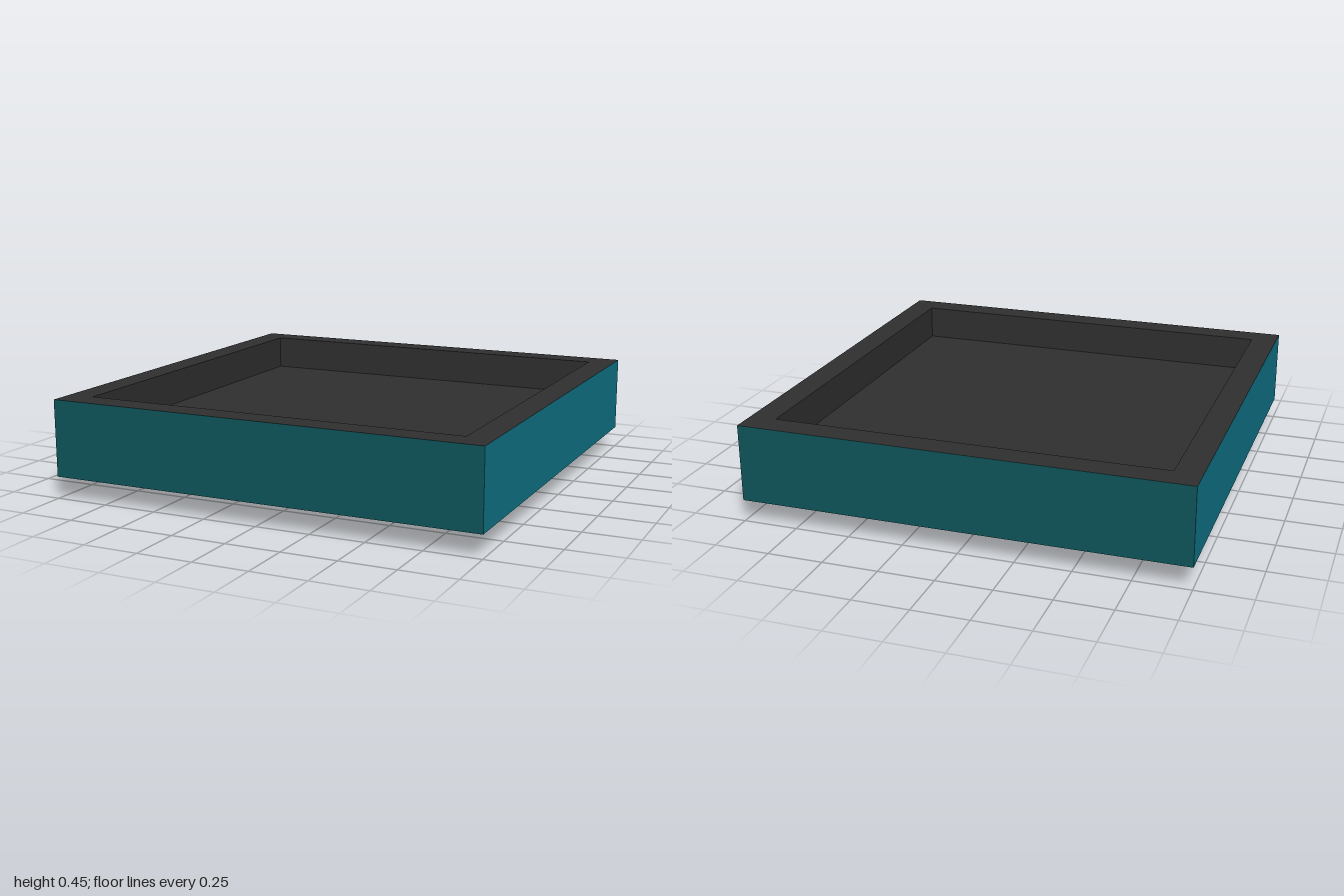
import * as THREE from 'three';

function paint(name, color) {
  const m = new THREE.MeshStandardMaterial({ color });
  m.name = name;
  return m;
}

export function createModel() {
  const charcoal = paint('charcoal', 0x2f2f2f);
  const tealGreen = paint('dark teal', 0x0f565b);
  const tealBlue = paint('blue teal', 0x107387);
  const navy = paint('navy underside', 0x32386a);
  const green = paint('sea green', 0x269c8a);
  const cream = paint('cream', 0xdfe3bb);

  const model = new THREE.Group();
  model.name = 'tray';
  const add = (name, geometry, material, y = 0) => {
    const mesh = new THREE.Mesh(geometry, material);
    mesh.name = name;
    mesh.position.y = y;
    model.add(mesh);
    return mesh;
  };

  // box with its top face left out
  const openBox = (w, h, d) => {
    const g = new THREE.BoxGeometry(w, h, d);
    g.groups = g.groups.filter((part) => part.materialIndex !== 2);
    return g;
  };

  // outer walls and underside
  const top = 0.45, bottom = 0.1, floor = 0.29, inner = 0.88;
  add('outerShell', openBox(2, top - bottom, 2),
    [tealBlue, tealBlue, charcoal, navy, tealGreen, tealGreen], (top + bottom) / 2);

  // recess, turned inside out so its walls and floor face inward
  const recess = openBox(inner * 2, top - floor, inner * 2);
  recess.scale(-1, 1, 1);
  recess.computeVertexNormals();
  add('recess', recess, Array(6).fill(charcoal), (top + floor) / 2);

  // flat rim around the recess
  const square = (Type, r) => new Type([[-r, -r], [r, -r], [r, r], [-r, r]]
    .map(([x, y]) => new THREE.Vector2(x, y)));
  const rim = square(THREE.Shape, 1);
  rim.holes.push(square(THREE.Path, inner));
  add('rim', new THREE.ShapeGeometry(rim).rotateX(-Math.PI / 2), charcoal, top);

  // base plate
  add('basePlate', new THREE.BoxGeometry(1.7, 0.05, 1.7), green, 0.075);

  // runners: bars whose upper edge leans towards -x and -z
  const runner = (name, x0, x1, z0, z1, y0, leanX, leanZ) => {
    const h = 0.05 - y0;
    const g = new THREE.BoxGeometry(x1 - x0, h, z1 - z0);
    g.translate((x0 + x1) / 2, y0 + h / 2, (z0 + z1) / 2);
    const p = g.attributes.position;
    for (let i = 0; i < p.count; i++) {
      if (p.getY(i) > y0 + h / 2) {
        p.setX(i, p.getX(i) - leanX);
        p.setZ(i, p.getZ(i) - leanZ);
      }
    }
    g.computeVertexNormals();
    add(name, g, cream);
  };
  runner('leftRunner', 0.245, 0.645, -0.5, 0.597, 0, 0.012, 0.02);
  runner('rightRunner', -0.652, -0.255, -0.5, 0.597, 0, 0.012, 0.02);
  runner('crossRunner', -0.53, 0.527, 0.22, 0.6, 0.02, 0.008, 0.012);

  return model;
}
